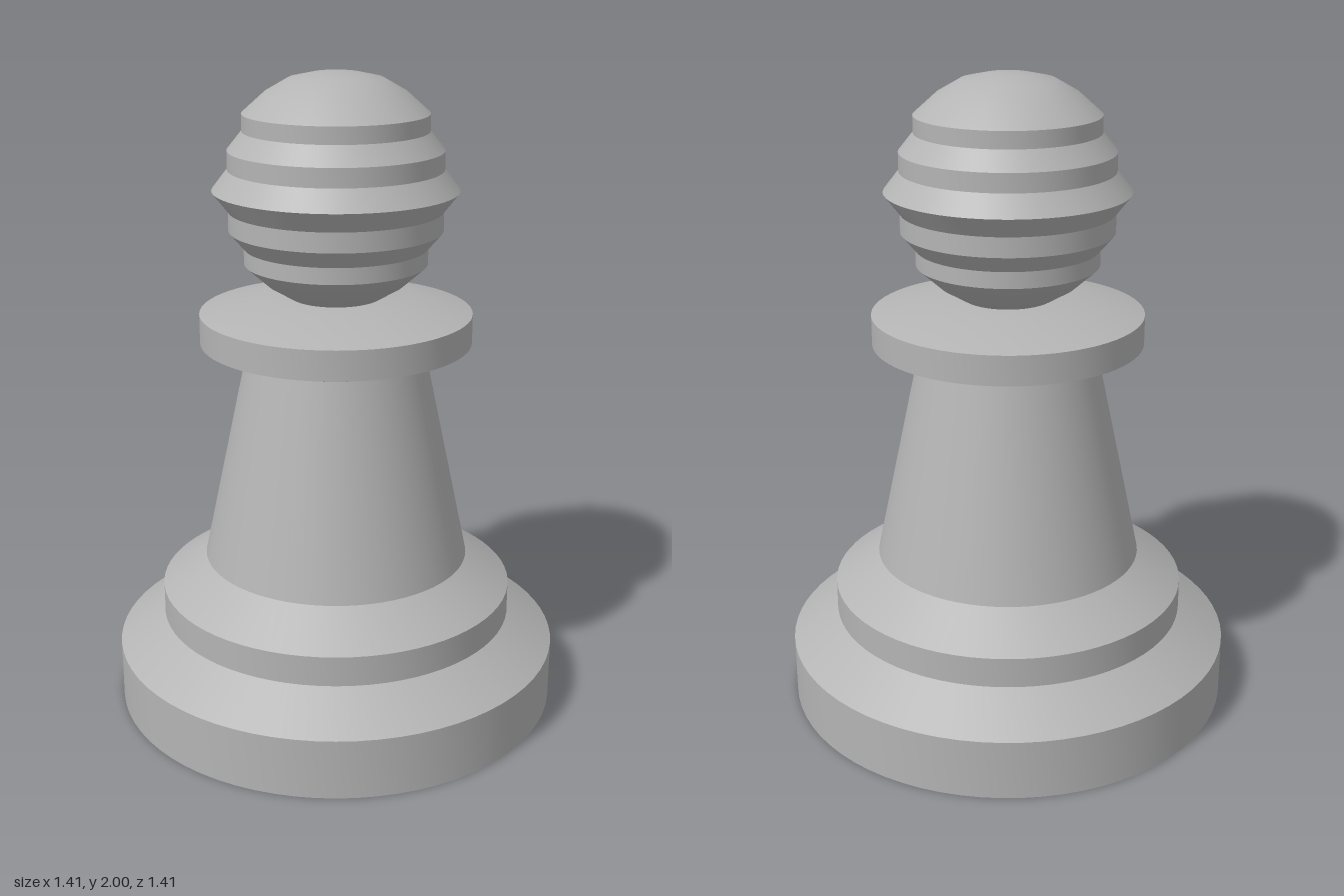
import * as THREE from 'three';
import { toCreasedNormals } from 'three/addons/utils/BufferGeometryUtils.js';

const grey = new THREE.MeshStandardMaterial({ color: 0xb4b4b4 });
grey.name = 'grey';

// Turned part from a [radius, height] profile, listed bottom to top.
function turned(name, profile) {
  const points = profile.map(([r, y]) => new THREE.Vector2(r, y));
  const geometry = toCreasedNormals(new THREE.LatheGeometry(points, 72), 0.5);
  const mesh = new THREE.Mesh(geometry, grey);
  mesh.name = name;
  return mesh;
}

export function createModel() {
  const model = new THREE.Group();
  model.name = 'chessPawn';

  // Stepped foot
  model.add(turned('base', [
    [0, 0], [0.705, 0], [0.705, 0.19], [0.56, 0.285], [0.56, 0.38], [0.42, 0.475],
  ]));

  // Tapered stem
  model.add(turned('stem', [[0.42, 0.475], [0.28, 1.133]]));

  // Collar with bevelled rims
  model.add(turned('collar', [
    [0.28, 1.133], [0.42, 1.18], [0.42, 1.272], [0.235, 1.32], [0, 1.32],
  ]));

  // Ridged head with smooth caps
  model.add(turned('head', [
    [0.14, 1.32], [0.21, 1.362], [0.28, 1.425], [0.28, 1.475],
    [0.325, 1.528], [0.325, 1.588], [0.373, 1.65], [0.325, 1.712],
    [0.325, 1.769], [0.28, 1.825], [0.28, 1.876], [0.21, 1.938],
    [0.14, 1.978], [0.07, 1.993], [0, 2],
  ]));

  return model;
}
